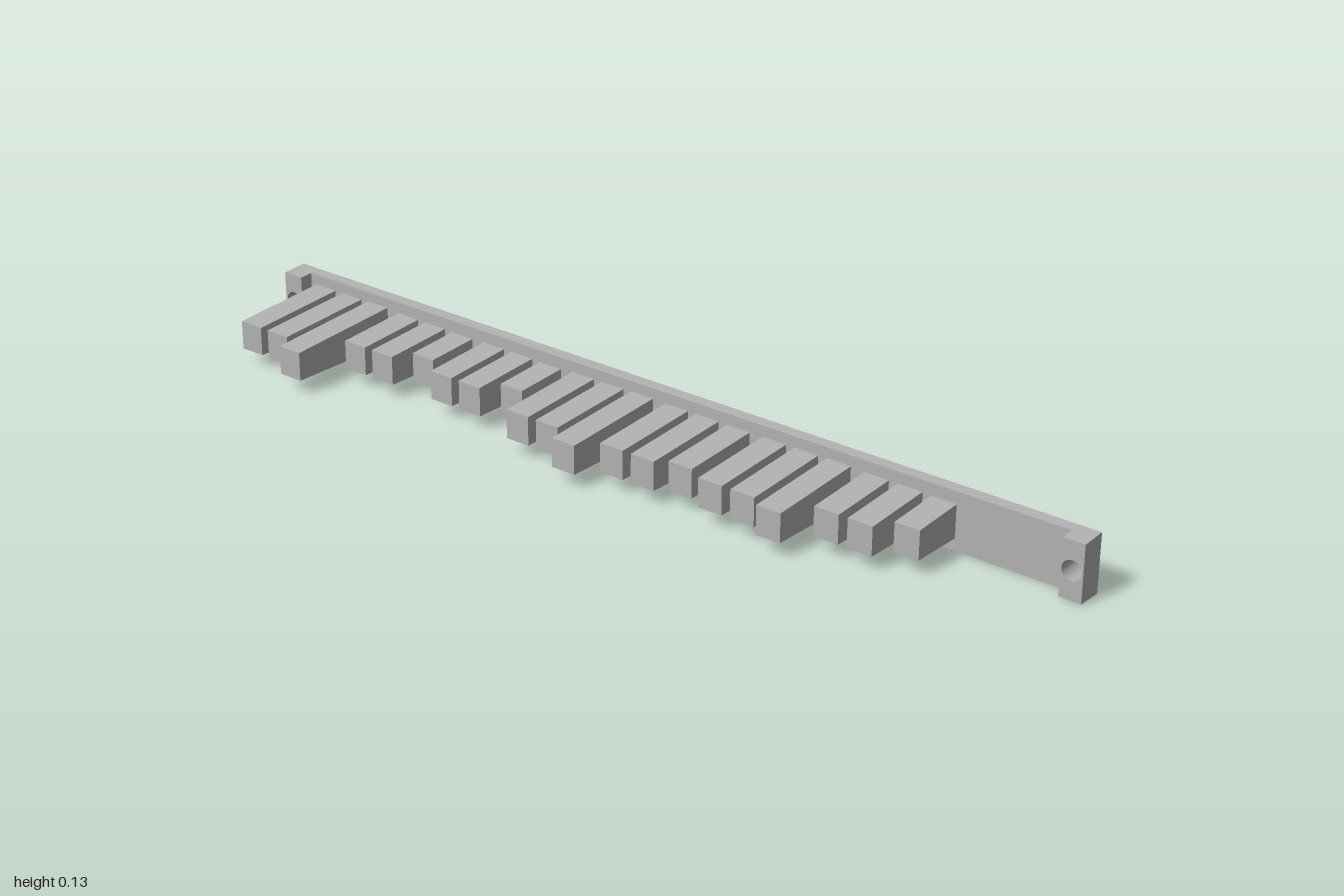
import * as THREE from 'three';

const MID_Y = 0.0635;   // height of the centre line
const BACK_Z = -0.148;
const FACE_Z = -0.122;  // front face of the thin plate
const PAD_Z = -0.091;   // front face of the end pads
const DRAFT = 0.036;    // taper of top and bottom faces per unit of depth

// Extrudes a shape from z0 to z1 and narrows its outer edges towards the front
function draftedPlate(shape, z0, z1) {
  const geo = new THREE.ExtrudeGeometry(shape, { depth: z1 - z0, bevelEnabled: false, curveSegments: 32 });
  geo.translate(0, 0, z0);
  const p = geo.attributes.position;
  for (let i = 0; i < p.count; i++) {
    const y = p.getY(i);
    if (Math.abs(y) > 0.05) p.setY(i, y - Math.sign(y) * DRAFT * (p.getZ(i) - BACK_Z));
  }
  geo.computeVertexNormals();
  return geo;
}

function rectShape(x0, x1, holeXs) {
  const h = MID_Y;
  const s = new THREE.Shape([
    new THREE.Vector2(x0, -h), new THREE.Vector2(x1, -h),
    new THREE.Vector2(x1, h), new THREE.Vector2(x0, h),
  ]);
  for (const x of holeXs) s.holes.push(new THREE.Path().absarc(x, 0, 0.021, 0, Math.PI * 2, true));
  return s;
}

// Bar whose tip is a fixed height and whose root grows with its length
function toothGeometry(tipZ) {
  const len = tipZ - FACE_Z;
  const geo = new THREE.BoxGeometry(0.056, 0.063, len).toNonIndexed();
  geo.translate(0, 0, FACE_Z + len / 2);
  const p = geo.attributes.position;
  for (let i = 0; i < p.count; i++) {
    const y = p.getY(i);
    p.setY(i, y + Math.sign(y) * DRAFT * (tipZ - p.getZ(i)));
  }
  geo.computeVertexNormals();
  return geo;
}

export function createModel() {
  const model = new THREE.Group();
  model.name = 'toothedBar';
  const grey = new THREE.MeshStandardMaterial({ color: 0xb2b2b2 });
  grey.name = 'grey';

  const add = (name, geo, x = 0) => {
    const mesh = new THREE.Mesh(geo, grey);
    mesh.name = name;
    mesh.position.set(x, MID_Y, 0);
    model.add(mesh);
  };

  // Long back plate with a screw hole at each end
  add('backPlate', draftedPlate(rectShape(-1, 1, [-0.975, 0.975]), BACK_Z, FACE_Z));

  // Raised pads around the screw holes
  add('rightEndPad', draftedPlate(rectShape(-1, -0.952, [-0.975]), FACE_Z, PAD_Z));
  add('leftEndPad', draftedPlate(rectShape(0.952, 1, [0.975]), FACE_Z, PAD_Z));

  // Seven groups of three teeth, given by their length step
  const steps = [
    [5, 5, 7], [2, 2, 0], [2, 2, 0], [4, 4, 6], [4, 4, 3], [4, 4, 5], [2, 2, 0],
  ];
  steps.forEach((group, g) => group.forEach((step, i) => {
    const x = -0.909 + g * 0.2393 + i * 0.076;
    add(`tooth${g * 3 + i + 1}`, toothGeometry(0.001 + step * 0.021), x);
  }));

  return model;
}
